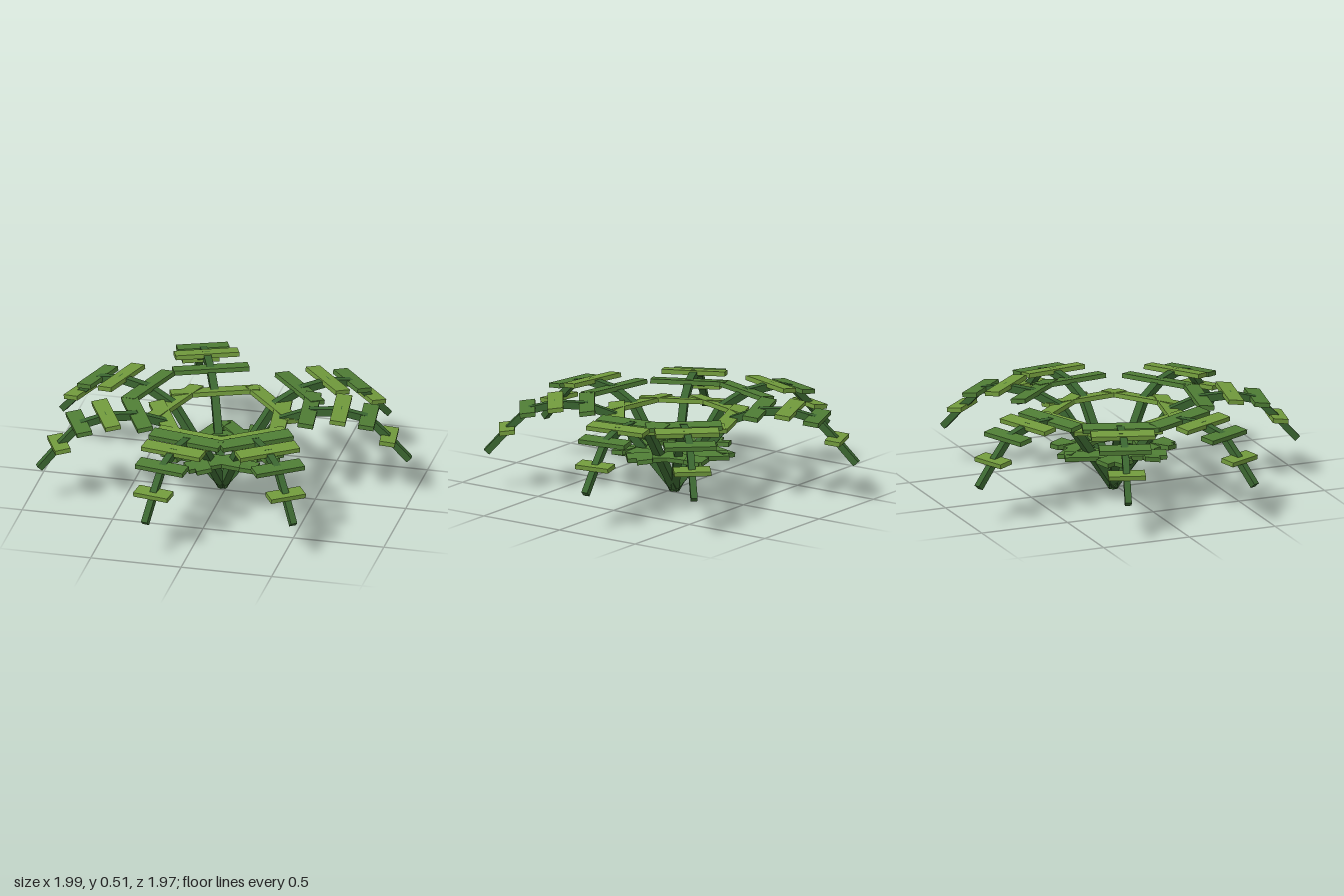
import * as THREE from 'three';

export function createModel() {
  const fern = new THREE.Group();
  fern.name = 'fern';
  const stemGreen = new THREE.MeshStandardMaterial({ name: 'stem green', color: 0x3a6530 });
  const darkGreen = new THREE.MeshStandardMaterial({ name: 'dark leaf green', color: 0x4f7d35 });
  const lightGreen = new THREE.MeshStandardMaterial({ name: 'light leaf green', color: 0x719a3c });

  // Arching frond profile: [distance from the crown, height, leaflet length]
  const profile = [
    [0, 0.01, 0], [0.16, 0.215, 0.55], [0.31, 0.405, 0.48], [0.47, 0.465, 0.41],
    [0.64, 0.475, 0.345], [0.79, 0.44, 0.28], [0.9, 0.33, 0.2], [1.005, 0.215, 0],
  ];
  // Uneven headings of the seven fronds, in degrees from +x towards +z
  const headings = [-7.3, 54.3, 100.8, 154, 198.3, 248.7, 318.4];

  function box(name, w, h, d, material) {
    const mesh = new THREE.Mesh(new THREE.BoxGeometry(w, h, d), material);
    mesh.name = name;
    return mesh;
  }

  // One frond growing along +x
  function makeFrond() {
    const frond = new THREE.Group();
    frond.name = 'frond';
    for (let i = 0; i < profile.length - 1; i++) {
      const [r0, y0] = profile[i];
      const [r1, y1] = profile[i + 1];
      const thick = 0.045 - i * 0.0015;
      const stem = box('stemSegment', Math.hypot(r1 - r0, y1 - y0) + 0.015, thick, thick, stemGreen);
      stem.position.set((r0 + r1) / 2, (y0 + y1) / 2, 0);
      stem.rotation.z = Math.atan2(y1 - y0, r1 - r0);
      frond.add(stem);
    }
    // Crosswise leaflets in alternating greens, tipped slightly outward
    profile.forEach(([r, y, length], i) => {
      if (!length) return;
      const leaflet = box('leaflet', 0.085, 0.025, length, i % 2 ? darkGreen : lightGreen);
      leaflet.position.set(r, y + 0.008, 0);
      leaflet.rotation.z = -0.12;
      frond.add(leaflet);
    });
    return frond;
  }

  for (const degrees of headings) {
    const frond = makeFrond();
    frond.position.set(-0.02, 0, -0.03);
    frond.rotation.y = -THREE.MathUtils.degToRad(degrees);
    fern.add(frond);
  }
  return fern;
}
